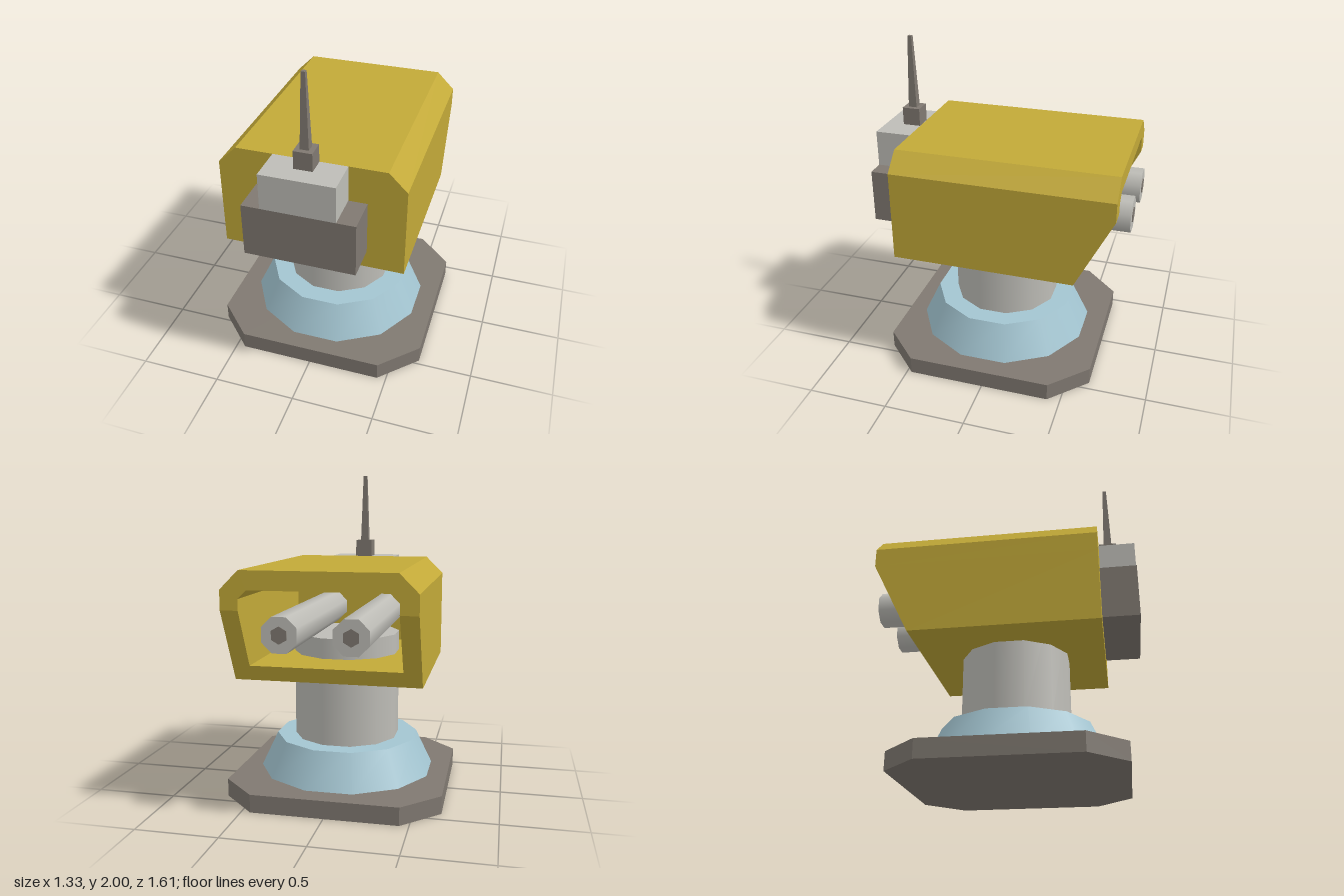
import * as THREE from 'three';

const material = (name, color) => {
  const m = new THREE.MeshStandardMaterial({ color });
  m.name = name;
  return m;
};

// Split shared corners so every face is shaded flat
function flat(geometry) {
  const g = geometry.index ? geometry.toNonIndexed() : geometry;
  g.computeVertexNormals();
  return g;
}

// Skin a list of closed rings (arrays of Vector3), skipping collapsed triangles
function skinRings(rings) {
  const pos = [];
  const tri = (a, b, c) => {
    if (a.equals(b) || b.equals(c) || a.equals(c)) return;
    for (const p of [a, b, c]) pos.push(p.x, p.y, p.z);
  };
  for (let r = 0; r < rings.length - 1; r++) {
    const n = rings[r].length;
    for (let i = 0; i < n; i++) {
      const j = (i + 1) % n;
      const a = rings[r][i], b = rings[r][j], c = rings[r + 1][j], d = rings[r + 1][i];
      tri(a, d, c);
      tri(a, c, b);
    }
  }
  const g = new THREE.BufferGeometry();
  g.setAttribute('position', new THREE.Float32BufferAttribute(pos, 3));
  return flat(g);
}

export function createModel() {
  const model = new THREE.Group();
  model.name = 'turret';
  const yellow = material('yellow paint', 0xc2a938);
  const darkGrey = material('dark grey metal', 0x807971);
  const lightGrey = material('light grey metal', 0xbebdb7);
  const blue = material('pale blue', 0xa3c5d1);

  const add = (name, geometry, mat, x = 0, y = 0, z = 0) => {
    const mesh = new THREE.Mesh(geometry, mat);
    mesh.name = name;
    mesh.position.set(x, y, z);
    model.add(mesh);
    return mesh;
  };
  const box = (name, mat, w, h, d, x, y, z) =>
    add(name, new THREE.BoxGeometry(w, h, d), mat, x, y, z);

  // Base plate with cut corners
  const s = 0.665, c = 0.445;
  const plate = new THREE.Shape(
    [[s, -c], [s, c], [c, s], [-c, s], [-s, c], [-s, -c], [-c, -s], [c, -s]]
      .map(([x, y]) => new THREE.Vector2(x, y)));
  const plateGeometry = new THREE.ExtrudeGeometry(plate, { depth: 0.11, bevelEnabled: false });
  plateGeometry.rotateX(-Math.PI / 2);
  add('basePlate', plateGeometry, darkGrey, 0, 0, 0.025);

  // Tapered collar and round post, which carries on up into the housing
  const collar = new THREE.CylinderGeometry(0.455, 0.56, 0.22, 12);
  collar.rotateY(Math.PI / 12);
  add('collar', collar, blue, 0, 0.22, 0.033);
  const post = new THREE.CylinderGeometry(0.335, 0.335, 0.67, 12);
  post.rotateY(Math.PI / 12);
  add('post', post, lightGrey, 0, 0.665, 0.028);

  // Hollow housing: rings run from the front wall, over the outside, into the cavity
  const outer = [[0.555, 0.78], [0.555, 1.22], [0.555, 1.335], [0.445, 1.445]];
  const inner = [[0.45, 0.875], [0.45, 1.22], [0.45, 1.285], [0.4, 1.335]];
  const ring = (half, zAt) => [
    ...half,
    ...half.slice().reverse().map(([x, y]) => [-x, y]),
  ].map(([x, y]) => new THREE.Vector3(x, y, zAt(y)));
  const centre = z => Array.from({ length: 8 }, () => new THREE.Vector3(0, 1.1, z));
  const backZ = y => -0.75 + Math.max(0, 1.22 - y) * 0.5;
  add('housing', skinRings([
    centre(0.58),
    ring(outer, () => 0.58),
    ring(outer, backZ),
    ring(inner, backZ),
    ring(inner, () => 0.47),
    centre(0.47),
  ]), yellow);

  // Pair of barrels with dark bores
  for (const [side, x] of [['left', 0.2], ['right', -0.2]]) {
    const barrel = new THREE.CylinderGeometry(0.109, 0.109, 1.27, 8);
    barrel.rotateY(Math.PI / 8);
    barrel.rotateX(Math.PI / 2);
    add(side + 'Barrel', barrel, lightGrey, x, 1.1, -0.165);
    const bore = new THREE.CylinderGeometry(0.05, 0.05, 0.006, 6);
    bore.rotateX(Math.PI / 2);
    add(side + 'Bore', bore, darkGrey, x, 1.1, -0.801);
  }

  // Sensor boxes on the front
  box('lowerSensorBox', darkGrey, 0.664, 0.33, 0.222, 0, 1.057, 0.691);
  box('upperSensorBox', lightGrey, 0.44, 0.223, 0.222, 0, 1.3335, 0.691);

  // Antenna on a small block
  box('antennaBlock', darkGrey, 0.11, 0.11, 0.11, 0, 1.5, 0.636);
  const mast = new THREE.CylinderGeometry(0.012 * Math.SQRT2, 0.026 * Math.SQRT2, 0.445, 4);
  mast.rotateY(Math.PI / 4);
  add('antenna', flat(mast), darkGrey, 0, 1.7775, 0.636);

  return model;
}
